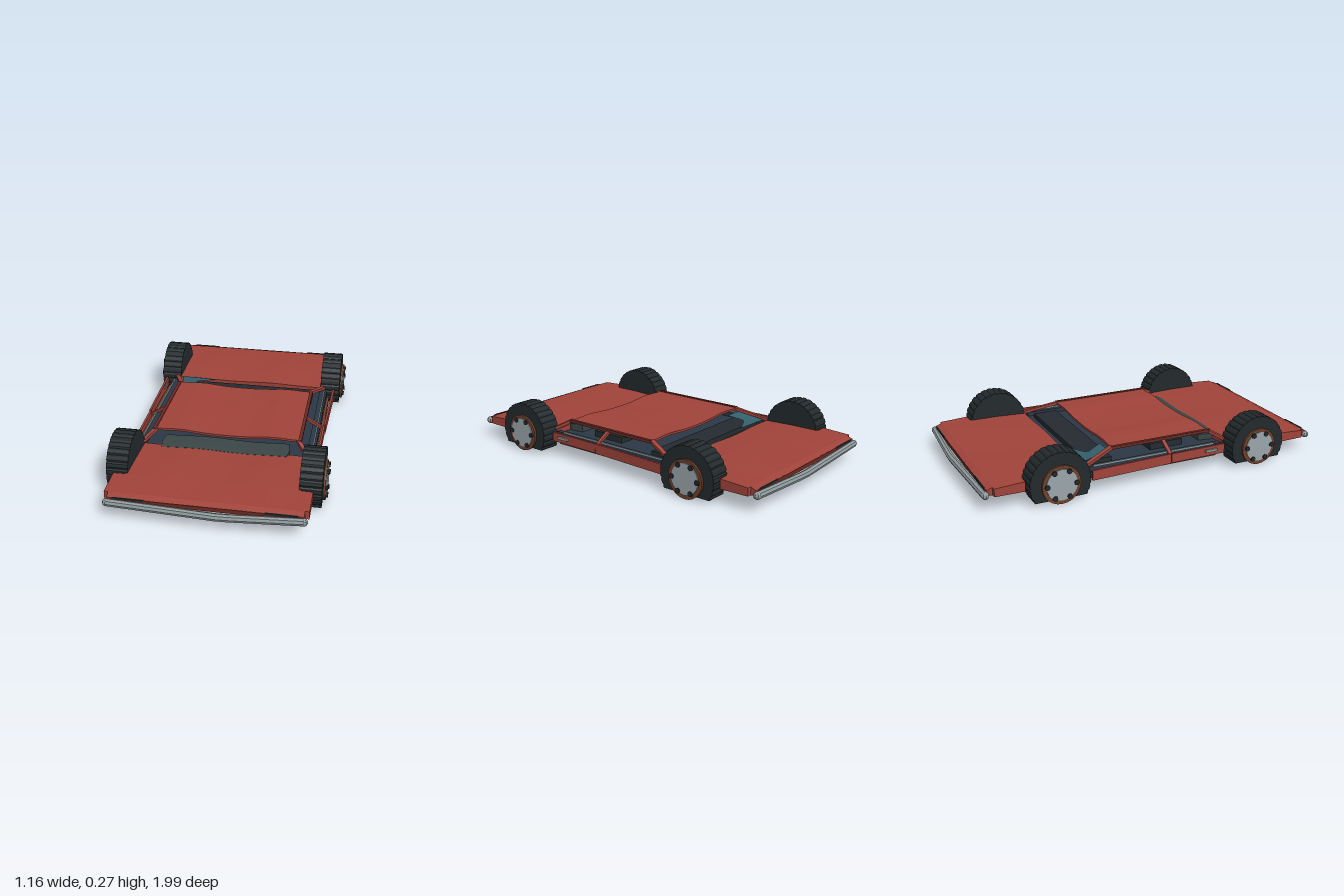
import * as THREE from 'three';

const mat = (color, extra = {}) => new THREE.MeshStandardMaterial({ color, flatShading: true, ...extra });
const RED = mat(0xa0433a), DARKRED = mat(0x6b2a22), RUBBER = mat(0x23292c), UNDER = mat(0x161d25);
const CABIN = mat(0x2c3847), SEAT = mat(0x242b30), DASH = mat(0x3a4546), CHROME = mat(0x909b9e);
const RUST = mat(0x70402b), HUB = mat(0x9aa5aa), GLASS = mat(0x34606c, { side: THREE.DoubleSide });

export function createModel() {
  const car = new THREE.Group();
  car.name = 'crushedCar';

  const add = (name, geometry, material, parent = car) => {
    const mesh = new THREE.Mesh(geometry, material);
    mesh.name = name;
    parent.add(mesh);
    return mesh;
  };
  const box = (name, w, h, d, x, y, z, material, parent = car) => {
    const mesh = add(name, new THREE.BoxGeometry(w, h, d), material, parent);
    mesh.position.set(x, y, z);
    return mesh;
  };
  // Square bar between two points
  const bar = (name, a, b, w, h, material) => {
    const from = new THREE.Vector3(...a), to = new THREE.Vector3(...b);
    const mesh = add(name, new THREE.BoxGeometry(w, h, from.distanceTo(to)), material);
    mesh.position.copy(from).lerp(to, 0.5);
    mesh.lookAt(to);
    return mesh;
  };
  // Dented slab: zs lists the cross-sections as [z, halfWidth, bottom, top]
  const slab = (name, sections, dent, material) => {
    const g = new THREE.BoxGeometry(2, 1, 1, 14, 1, sections.length - 1);
    const p = g.attributes.position;
    for (let i = 0; i < p.count; i++) {
      const [z, half, low, high] = sections[Math.round((p.getZ(i) + 0.5) * (sections.length - 1))];
      const x = p.getX(i) * half;
      p.setXYZ(i, x, p.getY(i) > 0 ? high + dent(x, z) : low, z);
    }
    g.computeVertexNormals();
    return add(name, g, material);
  };

  // Flat underside and cabin floor
  box('underside', 0.96, 0.01, 1.76, 0, 0.073, 0, UNDER);
  box('cabinFloor', 0.96, 0.025, 0.88, 0, 0.09, 0, CABIN);

  // Hood and trunk lid, narrowed between the wheels
  const ends = [[0.42, 0.45, 0.08, 0.128], [0.59, 0.45, 0.08, 0.135], [0.755, 0.45, 0.08, 0.135],
    [0.757, 0.512, 0.08, 0.135], [0.917, 0.512, 0.082, 0.126], [0.919, 0.49, 0.082, 0.126], [0.95, 0.49, 0.09, 0.114]];
  const ripple = (x, z) => 0.005 * Math.cos(x * 13 + z * 4) * (1.1 - Math.abs(z));
  slab('hood', ends, ripple, RED);
  slab('trunkLid', ends.map(([z, ...rest]) => [-z, ...rest]).reverse(), ripple, RED);

  // Buckled roof, sagging along its middle
  const sag = (x, z) => -0.014 * Math.exp(-((x / 0.12) ** 2)) * (0.4 + Math.abs(z - 0.06) * 2)
    + 0.003 * Math.cos(x * 24);
  const roofSections = [-0.235, -0.1, 0.06, 0.2, 0.35].map(z => [z, 0.4, 0.168, 0.186]);
  const roof = slab('roof', roofSections, sag, RED);
  const rp = roof.geometry.attributes.position;
  for (let i = 0; i < rp.count; i++) {
    // Keep the underside parallel to the sagging skin
    if (rp.getY(i) === Math.fround(0.168)) rp.setY(i, 0.174 + sag(rp.getX(i), rp.getZ(i)));
  }
  roof.geometry.computeVertexNormals();

  // Dashboard, seats and a shard of rear glass
  slab('dashboard', [[0.33, 0.34, 0.1, 0.142], [0.4, 0.35, 0.1, 0.138], [0.445, 0.34, 0.1, 0.13]], ripple, DASH);
  box('rearSeat', 0.8, 0.03, 0.14, 0, 0.115, -0.305, SEAT);
  const shard = new THREE.BufferGeometry().setFromPoints([
    [-0.42, 0.137, -0.41], [-0.3, 0.142, -0.35], [-0.2, 0.137, -0.4],
    [-0.42, 0.137, -0.41], [-0.39, 0.165, -0.25], [-0.3, 0.142, -0.35],
    [-0.39, 0.165, -0.25], [-0.28, 0.165, -0.25], [-0.32, 0.142, -0.34],
  ].map(v => new THREE.Vector3(...v)));
  shard.computeVertexNormals();
  add('glassShard', shard, GLASS);

  for (const s of [1, -1]) {
    // Front seats: cushion and flattened backrest
    box('seatCushion', 0.26, 0.035, 0.2, s * 0.22, 0.12, 0.12, SEAT);
    box('seatBack', 0.22, 0.02, 0.17, s * 0.22, 0.147, -0.04, SEAT).rotation.x = 0.05;

    // Folded roof pillars
    bar('frontPillar', [s * 0.39, 0.182, 0.35], [s * 0.46, 0.13, 0.44], 0.022, 0.016, RED);
    bar('middlePillar', [s * 0.39, 0.18, 0.07], [s * 0.49, 0.12, 0.07], 0.02, 0.014, RED);
    bar('rearPillar', [s * 0.39, 0.18, -0.23], [s * 0.46, 0.128, -0.42], 0.025, 0.016, RED);
    bar('roofRail', [s * 0.4, 0.18, -0.235], [s * 0.4, 0.18, 0.36], 0.018, 0.016, DARKRED);

    // Doors with sill, trim and handle
    bar('frontDoor', [s * 0.505, 0.105, 0.07], [s * 0.5, 0.105, 0.4], 0.012, 0.052, RED);
    bar('rearDoor', [s * 0.522, 0.102, -0.4], [s * 0.508, 0.106, 0.065], 0.012, 0.055, RED);
    box('sill', 0.016, 0.03, 0.7, s * 0.492, 0.085, 0, RUST);
    box('windowTrim', 0.008, 0.008, 0.72, s * 0.468, 0.13, -0.01, CHROME);
    box('doorTop', 0.03, 0.024, 0.8, s * 0.455, 0.114, 0, CABIN);
    for (const z of [0.31, -0.31]) box('doorHandle', 0.012, 0.014, 0.07, s * 0.516, 0.11, z, CHROME);
  }

  // Bumpers, bent off centre, with lamp strips behind
  for (const s of [1, -1]) {
    const end = s > 0 ? 'front' : 'rear';
    const path = new THREE.CurvePath();
    const pts = [[-0.49, 0.088, 0.957], [0.08, 0.078, 0.976], [0.49, 0.09, 0.957]]
      .map(([x, y, z]) => new THREE.Vector3(x, y, s * z));
    path.add(new THREE.LineCurve3(pts[0], pts[1]));
    path.add(new THREE.LineCurve3(pts[1], pts[2]));
    add(end + 'Bumper', new THREE.TubeGeometry(path, 16, 0.02, 8), CHROME);
    for (const p of [pts[0], pts[2]]) {
      const cap = add(end + 'BumperEnd', new THREE.SphereGeometry(0.02, 8, 6), CHROME);
      cap.position.copy(p);
    }
    box(end + 'Panel', 0.94, 0.02, 0.012, 0, 0.104, s * 0.947, DARKRED);
    for (const x of [-0.38, 0.38]) box(end + 'Lamp', 0.16, 0.01, 0.006, x, 0.113, s * 0.952, RUBBER);
  }

  // Wheels: ribbed tyre flattened at the ground, rusty rim, hub and bolts
  const tyreShape = new THREE.Shape();
  const teeth = 28;
  for (let i = 0; i < teeth * 4; i++) {
    const a = i / (teeth * 4) * Math.PI * 2, r = i % 4 === 0 ? 0.16 : 0.165;
    tyreShape[i ? 'lineTo' : 'moveTo'](r * Math.cos(a), Math.max(-0.088, r * Math.sin(a)));
  }
  const tyreGeo = new THREE.ExtrudeGeometry(tyreShape, { depth: 0.115, bevelEnabled: false });
  const discGeo = (r, depth) => new THREE.CylinderGeometry(r, r, depth, 24).rotateX(Math.PI / 2);
  const rimGeo = discGeo(0.104, 0.012), hubGeo = discGeo(0.084, 0.008);
  const boltGeo = new THREE.CylinderGeometry(0.014, 0.014, 0.014, 8).rotateX(Math.PI / 2);
  for (const s of [1, -1]) for (const z of [0.585, -0.585]) {
    const wheel = new THREE.Group();
    wheel.name = (z > 0 ? 'front' : 'rear') + (s > 0 ? 'Left' : 'Right') + 'Wheel';
    wheel.position.set(s * 0.44, 0.11, z);
    wheel.rotation.y = s * Math.PI / 2;
    add('tyre', tyreGeo, RUBBER, wheel);
    add('rim', rimGeo, RUST, wheel).position.set(0, -0.006, 0.122);
    add('hub', hubGeo, HUB, wheel).position.set(0, -0.004, 0.129);
    for (let i = 0; i < 6; i++) {
      const a = i * Math.PI / 3;
      add('bolt', boltGeo, RUBBER, wheel).position.set(0.078 * Math.cos(a), 0.078 * Math.sin(a) - 0.004, 0.132);
    }
    car.add(wheel);
  }
  return car;
}
